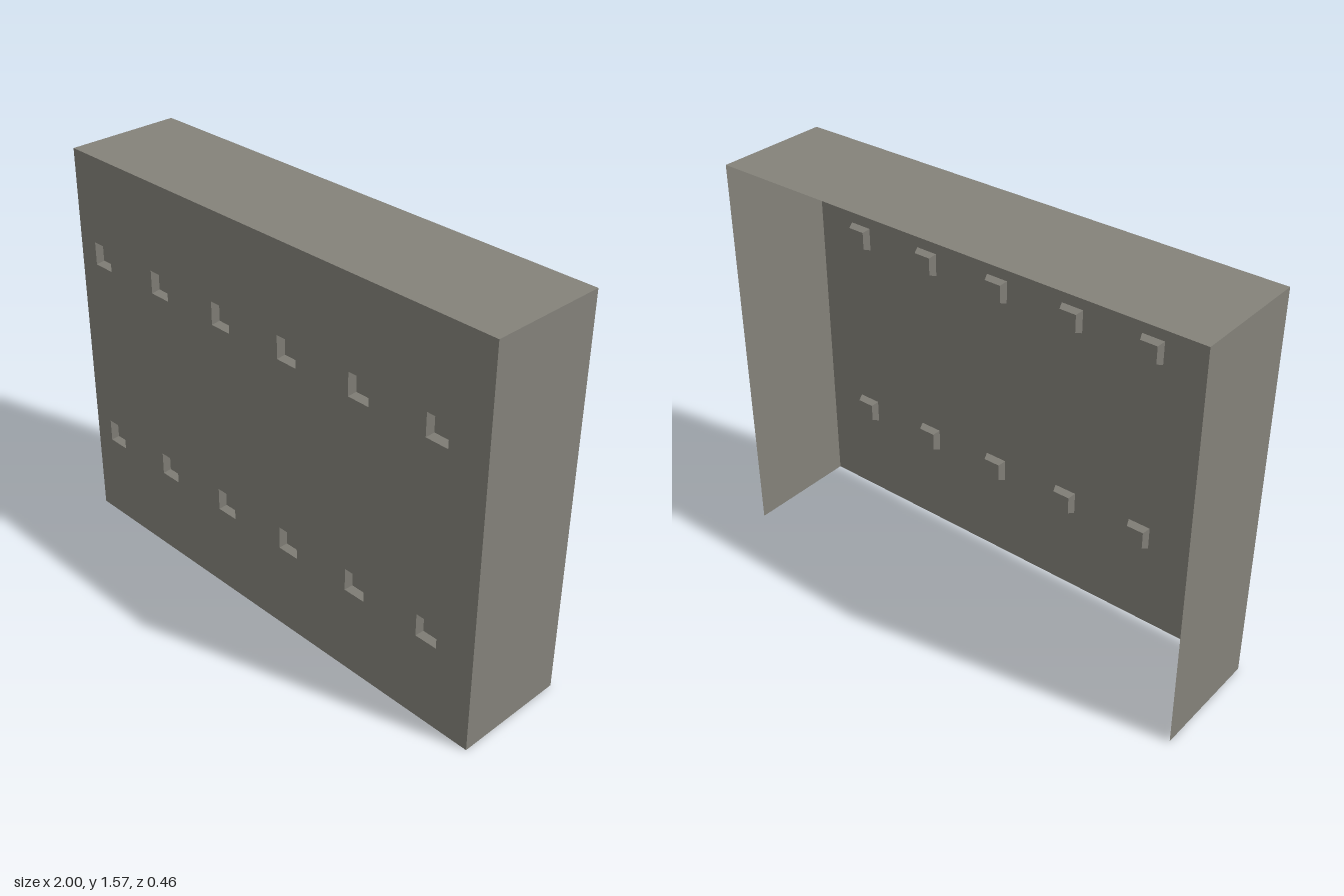
import * as THREE from 'three';

const W = 2, H = 1.57, D = 0.456;
const OUTER = 0.091, INNER = 0.07, DEPTH = 0.027;

export function createModel() {
  const concrete = new THREE.MeshStandardMaterial({ color: 0x84827a, side: THREE.DoubleSide });
  concrete.name = 'concrete grey';
  const group = new THREE.Group();
  group.name = 'wallPanel';

  const add = (name, geometry, x, y, z, parent = group) => {
    const mesh = new THREE.Mesh(geometry, concrete);
    mesh.name = name;
    mesh.position.set(x, y, z);
    parent.add(mesh);
    return mesh;
  };

  // Front sheet, pierced by two rows of six square openings
  const face = new THREE.Shape();
  face.moveTo(-W / 2, 0).lineTo(W / 2, 0).lineTo(W / 2, H).lineTo(-W / 2, H).closePath();

  // Pocket: four sloping sides narrowing towards the back, and a flat floor
  const sides = new THREE.CylinderGeometry(OUTER / Math.SQRT2, INNER / Math.SQRT2, DEPTH, 4, 1, true)
    .rotateY(Math.PI / 4).rotateX(Math.PI / 2).toNonIndexed();
  sides.computeVertexNormals();
  const floor = new THREE.PlaneGeometry(INNER, INNER);

  for (const y of [H / 4, H * 3 / 4]) {
    for (let i = 0; i < 6; i++) {
      const x = -0.87 + i / 3, r = OUTER / 2;
      const hole = new THREE.Path();
      hole.moveTo(x - r, y - r).lineTo(x - r, y + r).lineTo(x + r, y + r).lineTo(x + r, y - r).closePath();
      face.holes.push(hole);

      const pocket = new THREE.Group();
      pocket.name = 'pocket';
      pocket.position.set(x, y, D / 2);
      add('pocketSides', sides, 0, 0, -DEPTH / 2, pocket);
      add('pocketFloor', floor, 0, 0, -DEPTH, pocket);
      group.add(pocket);
    }
  }
  add('frontSheet', new THREE.ShapeGeometry(face), 0, 0, D / 2);

  // Side returns and top; the back and the bottom stay open
  for (const s of [1, -1]) {
    const side = new THREE.PlaneGeometry(D, H).rotateY(s * Math.PI / 2);
    add(s > 0 ? 'leftSide' : 'rightSide', side, s * W / 2, H / 2, 0);
  }
  add('topSheet', new THREE.PlaneGeometry(W, D).rotateX(-Math.PI / 2), 0, H, 0);

  return group;
}
